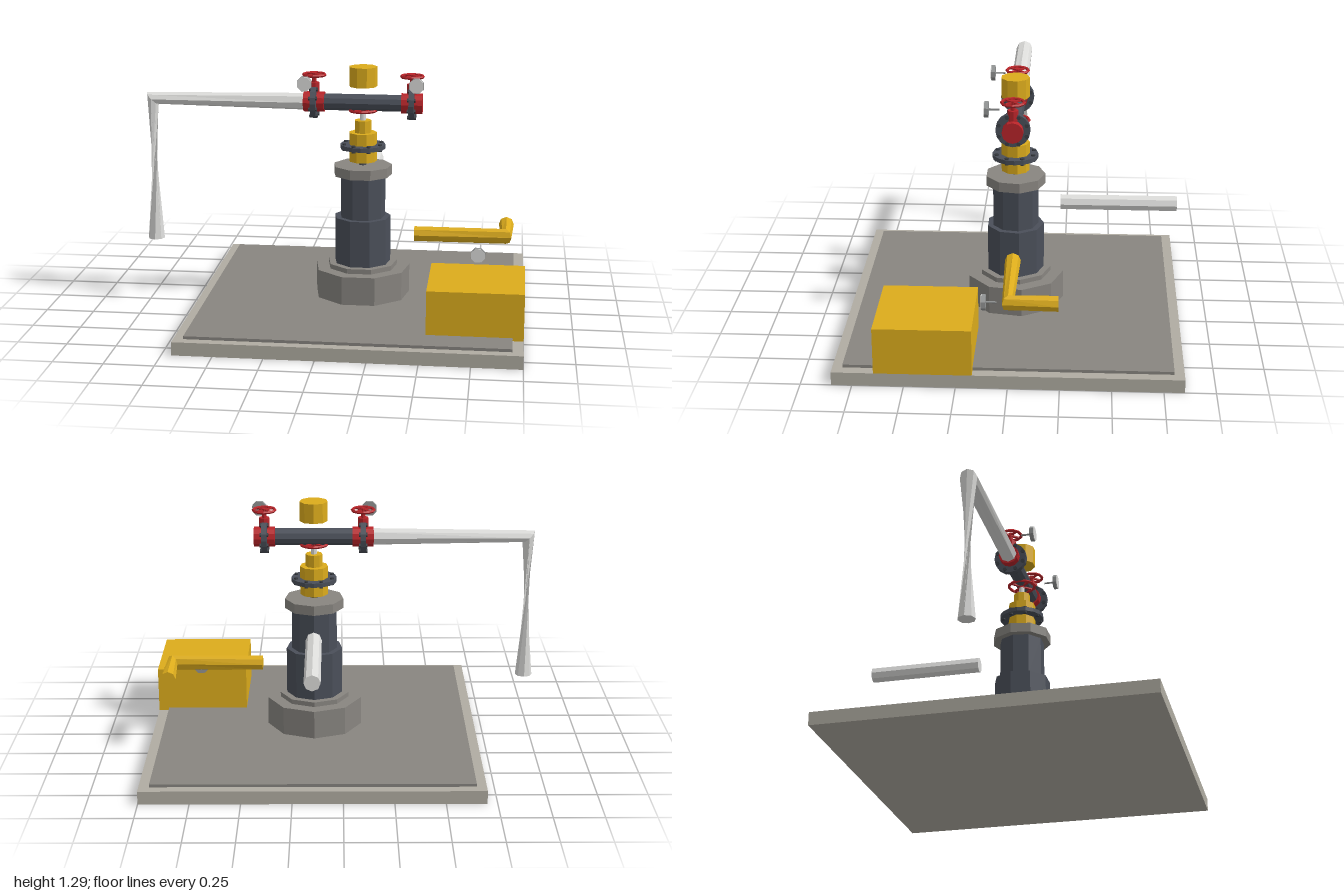
import * as THREE from 'three';

const mat = (name, color) => Object.assign(new THREE.MeshStandardMaterial({ color, flatShading: true }), { name });

export function createModel() {
  const concrete = mat('pale concrete', 0xb0aca2);
  const stone = mat('grey stone', 0x888580);
  const steel = mat('dark steel', 0x4a4f59);
  const iron = mat('black iron', 0x3a3e44);
  const gold = mat('gold', 0xdcac1c);
  const red = mat('red', 0xb82429);
  const silver = mat('silver', 0xdcdcda);
  const grey = mat('gauge grey', 0x929494);

  const model = new THREE.Group();
  const AXIS = 0.149; // centre of the column

  function add(parent, name, geometry, material, x = 0, y = 0, z = 0) {
    const mesh = new THREE.Mesh(geometry, material);
    mesh.name = name;
    mesh.position.set(x, y, z);
    parent.add(mesh);
    return mesh;
  }
  function group(parent, name, x, y, z) {
    const g = new THREE.Group();
    g.name = name;
    g.position.set(x, y, z);
    parent.add(g);
    return g;
  }
  const box = (name, m, x0, x1, y0, y1, z0, z1) =>
    add(model, name, new THREE.BoxGeometry(x1 - x0, y1 - y0, z1 - z0), m, (x0 + x1) / 2, (y0 + y1) / 2, (z0 + z1) / 2);
  // upright prism between two heights, one corner towards the back
  const drum = (parent, name, m, r, y0, y1, sides = 9) =>
    add(parent, name, new THREE.CylinderGeometry(r, r, y1 - y0, sides, 1, false, Math.PI), m, 0, (y0 + y1) / 2, 0);

  // pipe with one sharp mitred bend; twist turns the last ring by whole sides
  function bentPipe(name, m, a, b, c, r, twist = 0) {
    const N = 8, pts = [a, b, c].map(p => new THREE.Vector3(...p));
    const d1 = pts[1].clone().sub(pts[0]).normalize(), d2 = pts[2].clone().sub(pts[1]).normalize();
    const side = d1.clone().cross(d2).normalize();
    const pos = [], index = [];
    [d1, d1.clone().add(d2).normalize(), d2].forEach((dir, k) => {
      const u = side.clone().cross(dir);
      // the bend ring is not widened, so the pipe pinches at the corner
      for (let i = 0; i < N; i++) {
        const t = (i + (k === 2 ? twist : 0)) / N * Math.PI * 2;
        const p = pts[k].clone();
        p.addScaledVector(u, -Math.sin(t) * r).addScaledVector(side, Math.cos(t) * r);
        pos.push(p.x, p.y, p.z);
      }
    });
    for (let k = 0; k < 2; k++) for (let i = 0; i < N; i++) {
      const j = (i + 1) % N, p = k * N;
      index.push(p + i, p + j, p + N + j, p + i, p + N + j, p + N + i);
    }
    for (let i = 1; i < N - 1; i++) index.push(0, i + 1, i, 2 * N, 2 * N + i, 2 * N + i + 1);
    const g = new THREE.BufferGeometry();
    g.setAttribute('position', new THREE.Float32BufferAttribute(pos, 3));
    g.setIndex(index);
    const flat = g.toNonIndexed();
    flat.computeVertexNormals();
    return add(model, name, flat, m);
  }

  // bolted flange, axis along y
  function flange(parent, name, y, r, thick) {
    const g = group(parent, name, 0, y, 0);
    drum(g, 'flangeDisc', steel, r, -thick / 2, thick / 2, 16);
    for (let i = 0; i < 8; i++) {
      const t = (i + 0.5) / 8 * Math.PI * 2;
      add(g, 'bolt', new THREE.CylinderGeometry(0.011, 0.011, thick + 0.016, 6), iron,
        Math.cos(t) * r * 0.86, 0, Math.sin(t) * r * 0.86);
    }
    return g;
  }

  function handwheel(parent, name, y, r) {
    const g = group(parent, name, 0, y, 0);
    add(g, 'rim', new THREE.TorusGeometry(r, 0.008, 5, 12).rotateX(Math.PI / 2), red);
    for (let i = 0; i < 2; i++)
      add(g, 'spoke', new THREE.BoxGeometry(2 * r, 0.008, 0.012), red).rotation.y = i * Math.PI / 2 + Math.PI / 4;
    drum(g, 'hub', red, 0.016, -0.01, 0.01);
  }

  // round dial on a short stem, facing the front
  function gauge(x, y) {
    const g = group(model, 'gauge', x, y, 0);
    const disc = (r, depth, sides) =>
      new THREE.CylinderGeometry(r, r, depth, sides, 1, false, Math.PI / sides).rotateX(Math.PI / 2);
    add(g, 'gaugeBody', disc(0.04, 0.02, 8), grey, 0, 0, 0.127);
    add(g, 'gaugeFace', disc(0.039, 0.003, 8), silver, 0, 0, 0.1385);
    add(g, 'gaugeStem', disc(0.005, 0.055, 6), grey, 0, 0, 0.092);
  }

  // ground slab
  box('baseSlab', concrete, -0.7, 1, 0, 0.068, -0.85, 0.85);
  box('innerSlab', stone, -0.65, 0.947, 0.068, 0.083, -0.8, 0.8);
  box('goldCrate', gold, 0.523, 1, 0.068, 0.306, 0.17, 0.645);

  // column
  const column = group(model, 'column', AXIS, 0, 0);
  drum(column, 'plinth', stone, 0.25, 0.083, 0.232);
  drum(column, 'plinthRing', stone, 0.183, 0.232, 0.257);
  drum(column, 'lowerColumn', steel, 0.148, 0.257, 0.502);
  drum(column, 'upperColumn', steel, 0.119, 0.502, 0.725);
  drum(column, 'collar', stone, 0.154, 0.725, 0.776);
  drum(column, 'stub', steel, 0.02, 0.776, 0.797);
  drum(column, 'goldBody', gold, 0.073, 0.797, 0.948);
  flange(column, 'columnFlange', 0.875, 0.117, 0.022);
  drum(column, 'goldNeck', gold, 0.044, 0.948, 1.012);
  drum(column, 'spindle', silver, 0.015, 1.012, 1.08);
  handwheel(column, 'columnHandwheel', 1.065, 0.07);
  drum(column, 'goldCap', gold, 0.073, 1.19, 1.292);

  // cross pipe with a valve at each end
  const PIPE_Y = 1.104;
  add(model, 'crossPipe', new THREE.CylinderGeometry(0.043, 0.043, 0.42, 10).rotateZ(Math.PI / 2), steel, AXIS, PIPE_Y, 0);
  for (const x of [-0.104, 0.402]) {
    const valve = group(model, 'valve', x, 0, 0);
    add(valve, 'valveBody', new THREE.CylinderGeometry(0.053, 0.053, 0.108, 12).rotateZ(Math.PI / 2), red, 0, PIPE_Y, 0);
    flange(valve, 'valveFlange', PIPE_Y, 0.086, 0.028).rotation.z = Math.PI / 2;
    drum(valve, 'bonnet', red, 0.027, 1.15, 1.206);
    drum(valve, 'valveStem', red, 0.012, 1.2, 1.25);
    handwheel(valve, 'valveHandwheel', 1.245, 0.056);
  }

  // gauges
  gauge(-0.139, 1.219);
  gauge(0.432, 1.219);
  gauge(0.76, 0.342);

  // pipes
  bentPipe('dropArm', silver, [-0.15, PIPE_Y, 0], [-0.956, PIPE_Y, 0], [-0.956, 0.345, 0], 0.044, 3);
  bentPipe('goldElbowPipe', gold, [0.422, 0.411, 0], [0.9, 0.411, 0], [0.9, 0.411, -0.24], 0.04);
  add(model, 'rearPipe', new THREE.CylinderGeometry(0.041, 0.041, 0.595, 8).rotateX(Math.PI / 2), silver, AXIS, 0.622, -0.53);

  return model;
}
